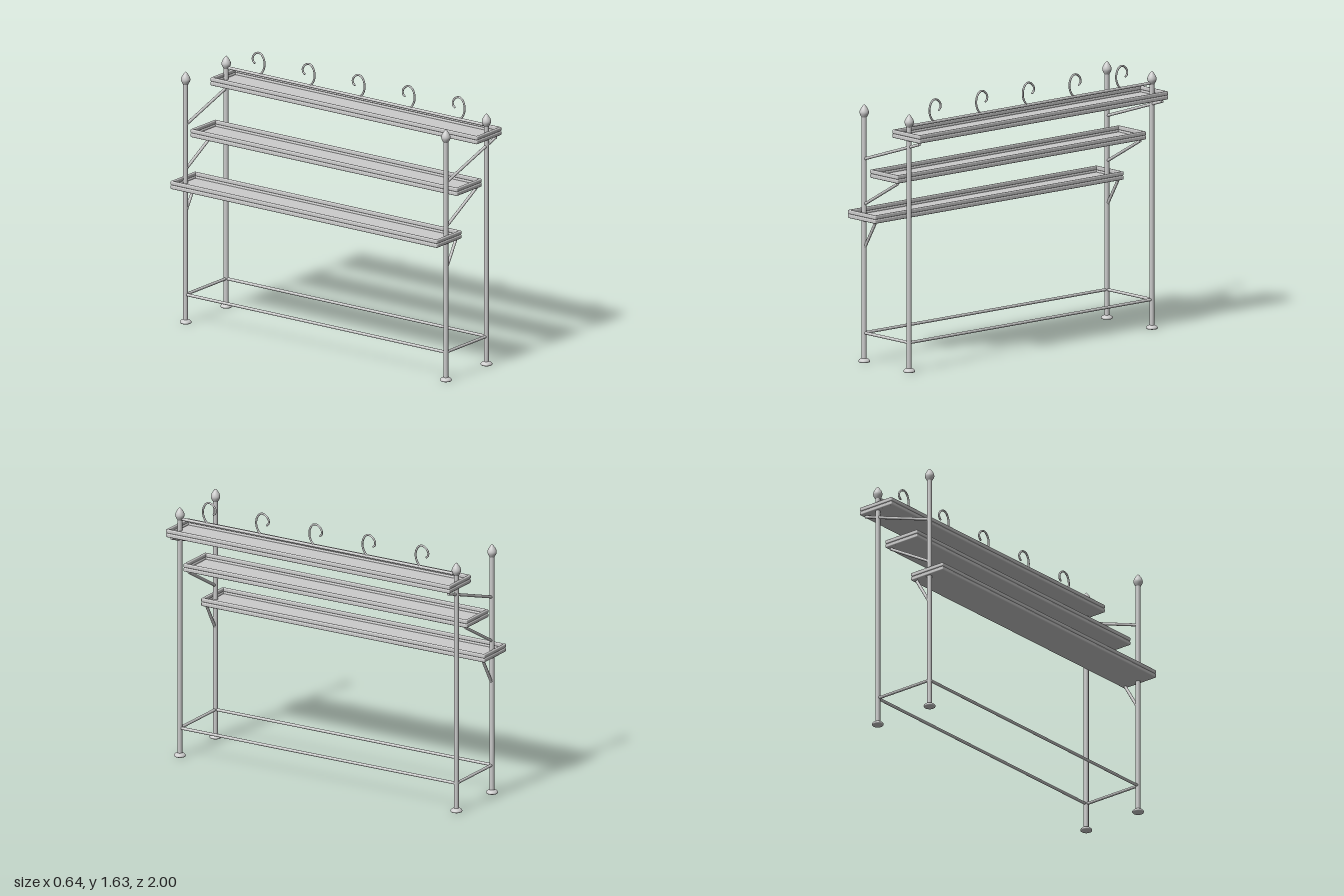
import * as THREE from 'three';
import { RoundedBoxGeometry } from 'three/addons/geometries/RoundedBoxGeometry.js';

const material = new THREE.MeshStandardMaterial({ color: 0xcccccc });
const POST_X = 0.2;
const POST_Z = 0.965;

function add(parent, name, geometry, x = 0, y = 0, z = 0) {
  const mesh = new THREE.Mesh(geometry, material);
  mesh.name = name;
  mesh.position.set(x, y, z);
  parent.add(mesh);
  return mesh;
}

// Round bar between two points
function bar(parent, name, a, b, radius) {
  const from = new THREE.Vector3(...a);
  const to = new THREE.Vector3(...b);
  const direction = to.clone().sub(from);
  const mesh = add(parent, name, new THREE.CylinderGeometry(radius, radius, direction.length(), 16));
  mesh.position.copy(from).add(to).multiplyScalar(0.5);
  mesh.quaternion.setFromUnitVectors(new THREE.Vector3(0, 1, 0), direction.normalize());
}

function lathe(points) {
  const profile = new THREE.SplineCurve(points.map(([r, y]) => new THREE.Vector2(r, y))).getPoints(24);
  profile.forEach((p) => { p.x = Math.max(p.x, 0); });
  return new THREE.LatheGeometry(profile, 24);
}

// Upright with a domed foot and a pointed finial
function makePost(x, z) {
  const post = new THREE.Group();
  post.name = 'post';
  post.position.set(x, 0, z);
  bar(post, 'upright', [0, 0.005, 0], [0, 1.49, 0], 0.015);
  add(post, 'foot', lathe([[0, 0], [0.028, 0], [0.035, 0.006], [0.033, 0.013], [0.025, 0.02], [0.015, 0.024]]));
  add(post, 'finial', lathe([
    [0.014, 1.48], [0.023, 1.495], [0.028, 1.511], [0.024, 1.528], [0.014, 1.545], [0.006, 1.555], [0, 1.56],
  ]));
  return post;
}

// Long tray: flat floor inside a rim of two stacked rounded bands
function makeShelf(x, y) {
  const shelf = new THREE.Group();
  shelf.name = 'shelf';
  shelf.position.set(x, y, 0);
  const width = 0.246, length = 1.98, wall = 0.016, band = 0.025;
  add(shelf, 'floor', new THREE.BoxGeometry(width - wall, 0.012, length - wall), 0, 0.007, 0);
  for (const level of [0.5, 1.5]) {
    for (const s of [-1, 1]) {
      add(shelf, 'sideRim', new RoundedBoxGeometry(wall, band, length, 3, 0.007),
        s * (width - wall) / 2, level * band, 0);
      add(shelf, 'endRim', new RoundedBoxGeometry(width, band, wall, 3, 0.007),
        0, level * band, s * (length - wall) / 2);
    }
  }
  return shelf;
}

// Open hook curling in the z-y plane
function makeHookGeometry() {
  const points = [
    [0.008, 1.487], [0.03, 1.511], [0.044, 1.548], [0.04, 1.588], [0.021, 1.616], [0, 1.623],
    [-0.025, 1.613], [-0.043, 1.588], [-0.041, 1.566], [-0.03, 1.555],
  ].map(([z, y]) => new THREE.Vector3(0, y, z));
  return new THREE.TubeGeometry(new THREE.CatmullRomCurve3(points), 48, 0.006, 10);
}

export function createModel() {
  const model = new THREE.Group();
  model.name = 'plantStand';

  for (const x of [-POST_X, POST_X]) {
    for (const z of [-POST_Z, POST_Z]) model.add(makePost(x, z));
    bar(model, 'lowerLongRail', [x, 0.178, -POST_Z], [x, 0.178, POST_Z], 0.009);
  }

  // Stepped shelves
  model.add(makeShelf(-0.198, 0.857), makeShelf(0, 1.13), makeShelf(0.197, 1.402));

  // End rails and the diagonal braces under the shelves
  for (const z of [-POST_Z, POST_Z]) {
    bar(model, 'lowerEndRail', [-POST_X, 0.178, z], [POST_X, 0.178, z], 0.009);
    bar(model, 'lowBrace', [-0.195, 0.695, z], [-0.102, 0.853, z], 0.009);
    bar(model, 'middleBrace', [-0.195, 0.957, z], [0.098, 1.123, z], 0.009);
    bar(model, 'topBrace', [-0.195, 1.231, z], [0.293, 1.391, z], 0.009);
  }

  // Top rail with a row of hooks
  bar(model, 'topRail', [POST_X, 1.488, -POST_Z], [POST_X, 1.488, POST_Z], 0.009);
  const hook = makeHookGeometry();
  for (let i = -2; i <= 2; i++) {
    const z = 0.017 + i * 0.371;
    add(model, 'hook', hook, POST_X, 0, z);
    add(model, 'hookTip', new THREE.SphereGeometry(0.006, 10, 8), POST_X, 1.555, z - 0.03);
  }
  return model;
}
